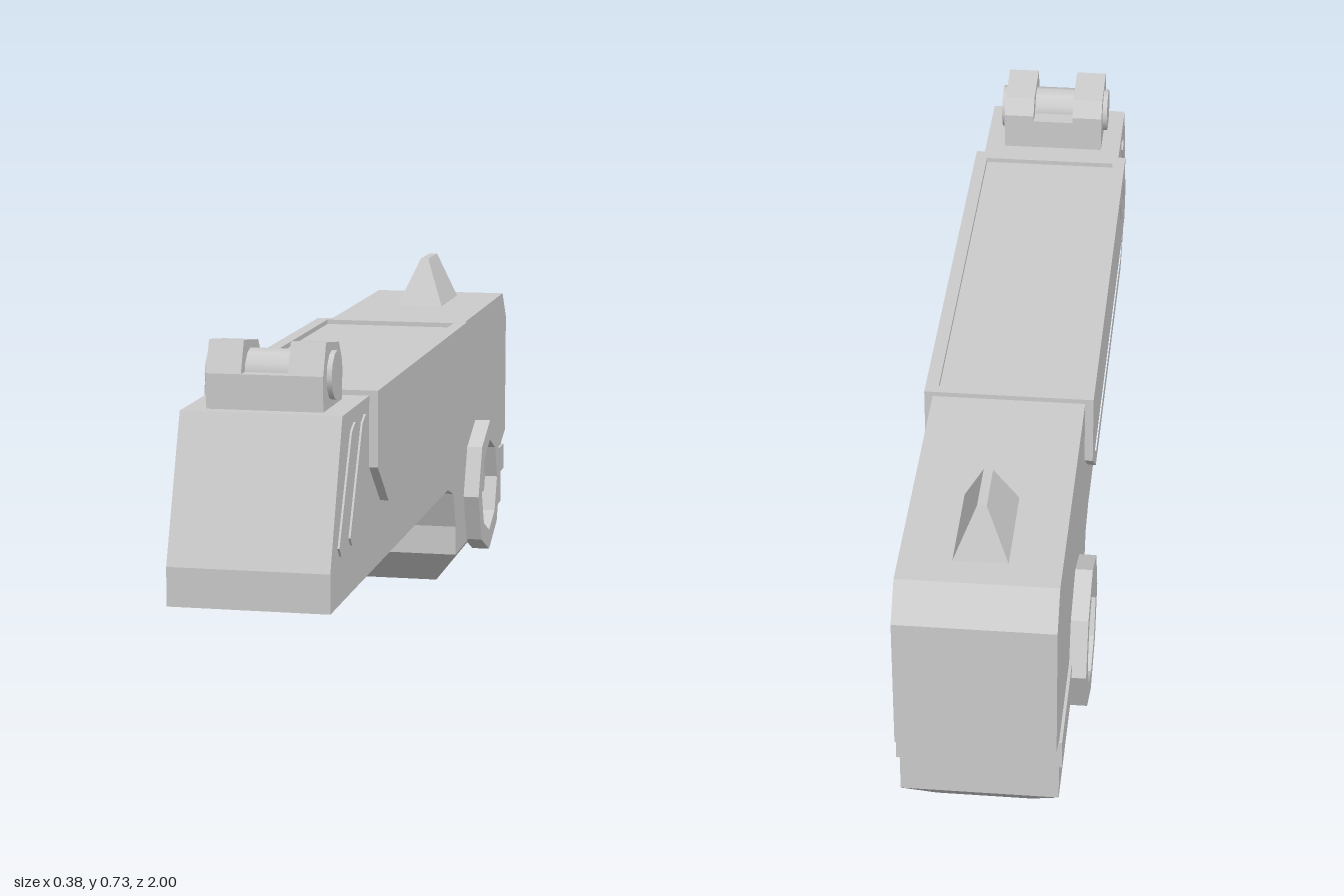
import * as THREE from 'three';

const mat = new THREE.MeshStandardMaterial({ color: 0xcccccc });
const toPoints = (pts) => pts.map(([a, b]) => new THREE.Vector2(a, b));

export function createModel() {
  const model = new THREE.Group();

  const add = (name, geo) => {
    const mesh = new THREE.Mesh(geo, mat);
    mesh.name = name;
    model.add(mesh);
    return mesh;
  };

  // Extrude a (z, y) profile along x, from x0 to x1
  const slab = (name, pts, x0, x1, hole) => {
    const shape = new THREE.Shape(toPoints(pts));
    if (hole) shape.holes.push(new THREE.Path(toPoints(hole)));
    const geo = new THREE.ExtrudeGeometry(shape, { depth: x1 - x0, bevelEnabled: false });
    geo.rotateY(-Math.PI / 2).translate(x1, 0, 0);
    return add(name, geo);
  };
  // The same slab on both flanks
  const pair = (name, pts, x0, x1, hole) => {
    slab(name + 'Left', pts, x0, x1, hole);
    slab(name + 'Right', pts, -x1, -x0, hole);
  };
  // Box between two rectangles: [halfX, zMin, zMax] at y0 and at y1
  const frustum = (name, y0, low, y1, high) => {
    const geo = new THREE.BoxGeometry(1, 1, 1);
    const p = geo.attributes.position;
    for (let i = 0; i < p.count; i++) {
      const up = p.getY(i) > 0;
      const [hx, zMin, zMax] = up ? high : low;
      p.setXYZ(i, Math.sign(p.getX(i)) * hx, up ? y1 : y0, p.getZ(i) > 0 ? zMax : zMin);
    }
    geo.computeVertexNormals();
    return add(name, geo);
  };
  const octagon = (r, z, y) => Array.from({ length: 8 }, (_, i) => {
    const a = (i * Math.PI) / 4;
    return [z + r * Math.cos(a), y + r * Math.sin(a)];
  });

  // Main body with its rear block, and the chamfered foot under it
  const W = 0.155;
  slab('body', [
    [1, 0.25], [1, 0.325], [0.895, 0.6], [-0.945, 0.6], [-1, 0.535], [-1, 0.25],
    [-0.94, 0.228], [-0.94, 0.08], [-0.305, 0.08], [-0.305, 0.145], [-0.27, 0.228], [-0.2, 0.25],
  ], -W, W);
  frustum('foot', 0, [0.095, -0.86, -0.39], 0.08, [W, -0.94, -0.305]);

  // Band around the rear of the lower block
  slab('rearBand', [[-0.6, 0.163], [-0.6, 0.225], [-0.945, 0.225], [-0.945, 0.163]], -0.161, 0.161);

  // Cover: framed side panels and a framed top
  pair('coverSide', [
    [0.655, 0.61], [0.655, 0.46], [0.55, 0.375], [-0.235, 0.375], [-0.34, 0.46], [-0.34, 0.61],
  ], 0.15, 0.172, [
    [0.625, 0.58], [0.625, 0.472], [0.54, 0.41], [-0.235, 0.41], [-0.31, 0.472], [-0.31, 0.58],
  ]);
  const rim = new THREE.Shape(toPoints([[-0.15, -0.655], [0.15, -0.655], [0.15, 0.34], [-0.15, 0.34]]));
  rim.holes.push(new THREE.Path(toPoints([[-0.145, -0.625], [0.145, -0.625], [0.145, 0.315], [-0.145, 0.315]])));
  add('coverTopRim', new THREE.ExtrudeGeometry(rim, { depth: 0.015, bevelEnabled: false })
    .rotateX(-Math.PI / 2).translate(0, 0.595, 0));

  // Slanted grip ribs near the front
  for (const z of [0, -0.095]) {
    pair('gripRib', [
      [0.94, 0.36], [0.925, 0.343], [0.895, 0.36], [0.79, 0.555], [0.8, 0.573], [0.83, 0.56],
    ].map(([a, b]) => [a + z, b]), 0.15, 0.159);
  }

  // Notched sight with a round pin on each side
  slab('sightBase', [[0.865, 0.595], [0.865, 0.667], [0.705, 0.667], [0.705, 0.595]], -0.112, 0.112);
  pair('sightPost', [
    [0.865, 0.667], [0.84, 0.728], [0.73, 0.714], [0.705, 0.68], [0.705, 0.667],
  ], 0.045, 0.112);
  add('sightPin', new THREE.CylinderGeometry(0.047, 0.047, 0.244, 12).rotateZ(Math.PI / 2).translate(0, 0.66, 0.79));

  // Pointed sight on top of the rear
  frustum('rearSight', 0.6, [0.053, -0.88, -0.67], 0.706, [0.009, -0.845, -0.73]);

  // Octagonal knob rings with a central bar
  pair('knobRing', octagon(0.154, -0.56, 0.195), 0.15, 0.19, octagon(0.108, -0.56, 0.195));
  pair('knobBar', [[-0.548, 0.13], [-0.548, 0.26], [-0.572, 0.26], [-0.572, 0.13]], 0.15, 0.162);

  return model;
}
